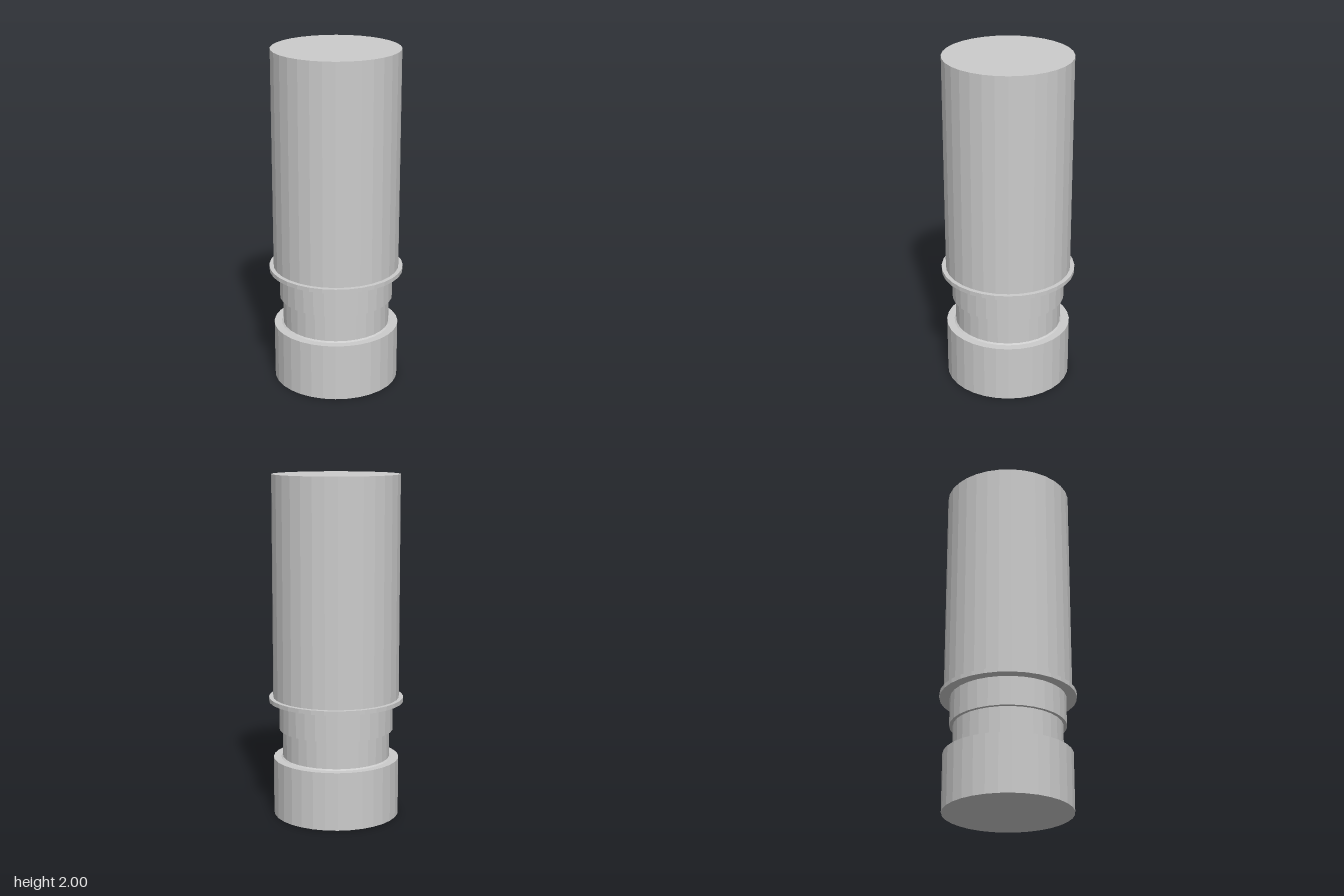
import * as THREE from 'three';

const SIDES = 32;

export function createModel() {
  const model = new THREE.Group();
  model.name = 'steppedCylinder';
  const material = new THREE.MeshStandardMaterial({ color: 0xcccccc, flatShading: true });

  // Turned section from a [radius, y] profile, listed bottom to top
  function turned(name, profile) {
    const points = profile.map(([r, y]) => new THREE.Vector2(r, y));
    const mesh = new THREE.Mesh(new THREE.LatheGeometry(points, SIDES), material);
    mesh.name = name;
    model.add(mesh);
  }

  // Foot with a flat bottom and a ledge around the neck
  turned('base', [[0, 0], [0.37, 0], [0.37, 0.34], [0.325, 0.34]]);
  // Narrow neck with a small fillet where it meets the base
  turned('neck', [[0.325, 0.34], [0.315, 0.347], [0.315, 0.51]]);
  // Slightly wider collar under the flange
  turned('collar', [[0.315, 0.51], [0.335, 0.51], [0.335, 0.68]]);
  // Thin projecting ring
  turned('flange', [[0.335, 0.68], [0.395, 0.68], [0.395, 0.705], [0.37, 0.705]]);
  // Tall closed barrel
  turned('barrel', [[0.37, 0.705], [0.37, 2], [0, 2]]);

  return model;
}
